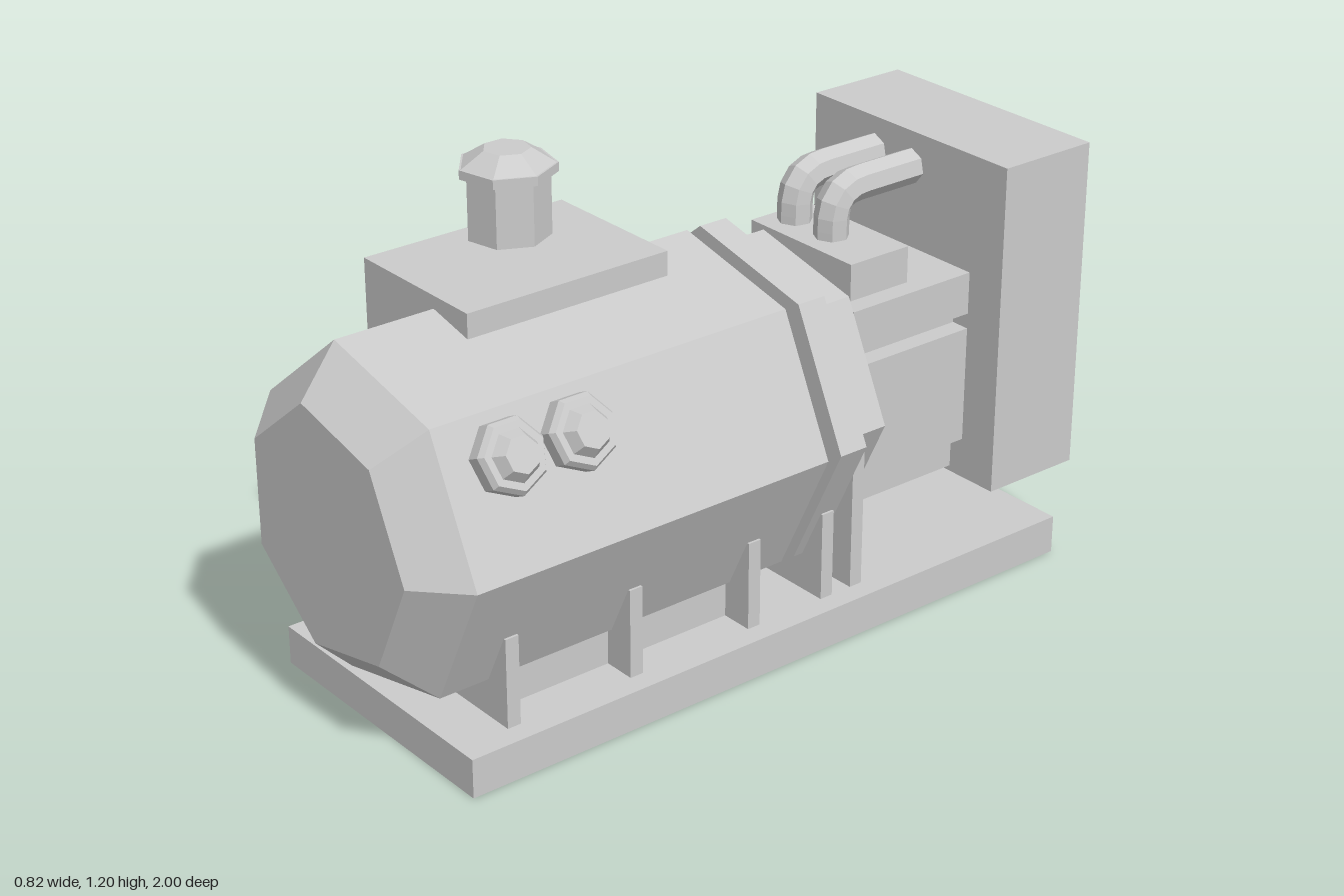
import * as THREE from 'three';

const mat = new THREE.MeshStandardMaterial({ color: 0xcccccc, flatShading: true });
const SIDES = 7;

function add(parent, name, geometry) {
  const mesh = new THREE.Mesh(geometry, mat);
  mesh.name = name;
  parent.add(mesh);
  return mesh;
}

// Box given by its limits on each axis
function box(parent, name, [x0, x1], [y0, y1], [z0, z1]) {
  const mesh = add(parent, name, new THREE.BoxGeometry(x1 - x0, y1 - y0, z1 - z0));
  mesh.position.set((x0 + x1) / 2, (y0 + y1) / 2, (z0 + z1) / 2);
  return mesh;
}

// Seven-sided frustum along y with one corner towards +x
function prism(rBottom, rTop, y0, y1) {
  return new THREE.CylinderGeometry(rTop, rBottom, y1 - y0, SIDES, 1, false, Math.PI / 2)
    .translate(0, (y0 + y1) / 2, 0);
}

// The same frustum lying along z on the generator axis
function drum(parent, name, rBack, rFront, z0, z1) {
  const mesh = add(parent, name, prism(rBack, rFront, z0, z1).rotateX(Math.PI / 2));
  mesh.position.set(-0.021, 0.53, 0);
  return mesh;
}

function addGenerator(group) {
  drum(group, 'generatorBody', 0.426, 0.426, -0.11, 0.89);
  drum(group, 'generatorNose', 0.426, 0.311, 0.89, 1.0);
  drum(group, 'couplingCore', 0.346, 0.346, -0.3, -0.1);
  drum(group, 'couplingFlange', 0.426, 0.426, -0.23, -0.15);
  drum(group, 'bellHousing', 0.37, 0.37, -0.34, -0.23);

  // Terminal box with its capped chimney
  box(group, 'terminalBox', [-0.395, 0.015], [0.65, 0.978], [0.055, 0.625]);
  const chimney = new THREE.Group();
  chimney.name = 'chimney';
  chimney.position.set(-0.302, 0, 0.28);
  add(chimney, 'chimneyPipe', prism(0.103, 0.103, 0.97, 1.135));
  add(chimney, 'chimneyRim', prism(0.121, 0.121, 1.135, 1.158));
  add(chimney, 'chimneyCap', prism(0.116, 0.058, 1.158, 1.195));
  group.add(chimney);

  // Two knobs on the upper right facet
  for (const z of [0.54, 0.73]) {
    const knob = new THREE.Group();
    knob.name = 'knob';
    add(knob, 'knobFlange', prism(0.09, 0.09, -0.01, 0.035));
    add(knob, 'knobBevel', prism(0.09, 0.08, 0.035, 0.049));
    add(knob, 'knobCap', prism(0.062, 0.044, 0.049, 0.078));
    knob.position.set(0.292, 0.765, z);
    knob.rotation.z = Math.PI / SIDES - Math.PI / 2;
    group.add(knob);
  }
}

function addBase(group) {
  box(group, 'basePlate', [-0.385, 0.37], [0, 0.1], [-0.92, 0.895]);
  box(group, 'pedestal', [-0.25, 0.23], [0.1, 0.3], [0.03, 0.74]);
  // Cross plates that carry the drum: z centre, top
  for (const [z, top] of [[0.74, 0.33], [0.39, 0.33], [0.035, 0.33], [-0.195, 0.33], [-0.29, 0.46]]) {
    box(group, 'supportPlate', [-0.335, 0.315], [0.1, top], [z - 0.018, z + 0.018]);
  }
}

function addEngine(group) {
  box(group, 'sump', [-0.2, 0.19], [0.24, 0.33], [-0.72, -0.33]);
  box(group, 'engineBlock', [-0.24, 0.23], [0.33, 0.635], [-0.72, -0.33]);
  box(group, 'engineNeck', [-0.19, 0.18], [0.635, 0.675], [-0.72, -0.38]);
  box(group, 'cylinderHead', [-0.24, 0.23], [0.675, 0.785], [-0.72, -0.34]);
  box(group, 'manifold', [-0.19, 0.177], [0.785, 0.88], [-0.56, -0.375]);

  // Bent pipes from the manifold to the radiator
  for (const x of [-0.125, 0.01]) {
    const p = (y, z) => new THREE.Vector3(x, y, z);
    const path = new THREE.CurvePath();
    path.add(new THREE.LineCurve3(p(0.87, -0.46), p(0.92, -0.46)));
    path.add(new THREE.QuadraticBezierCurve3(p(0.92, -0.46), p(1.0, -0.46), p(1.0, -0.54)));
    path.add(new THREE.LineCurve3(p(1.0, -0.54), p(1.0, -0.73)));
    add(group, 'coolantPipe', new THREE.TubeGeometry(path, 12, 0.045, SIDES));
  }
}

function addRadiator(group) {
  const [x0, x1, y0, y1] = [-0.345, 0.34, 0.225, 1.09];
  const rect = (Type, a, b, c, d) => new Type([[a, c], [b, c], [b, d], [a, d]]
    .map(([x, y]) => new THREE.Vector2(x, y)));
  box(group, 'radiatorCase', [x0, x1], [y0, y1], [-0.96, -0.72]);

  // Rear frame around the louvre opening
  const frame = rect(THREE.Shape, x0, x1, y0, y1);
  frame.holes.push(rect(THREE.Path, -0.285, 0.28, 0.385, 1.03));
  const frameGeometry = new THREE.ExtrudeGeometry(frame, { depth: 0.04, bevelEnabled: false });
  add(group, 'radiatorFrame', frameGeometry).position.z = -1;

  // Slats slope down towards the back
  const count = 22;
  for (let i = 0; i < count; i++) {
    const slat = add(group, 'louvreSlat', new THREE.BoxGeometry(0.565, 0.008, 0.034));
    slat.position.set(-0.0025, 0.385 + (i + 0.5) * 0.645 / count, -0.98);
    slat.rotation.x = -0.6;
  }
}

export function createModel() {
  const model = new THREE.Group();
  model.name = 'generatorSet';
  for (const [name, build] of [['base', addBase], ['generator', addGenerator],
    ['engine', addEngine], ['radiator', addRadiator]]) {
    const part = new THREE.Group();
    part.name = name;
    build(part);
    model.add(part);
  }
  return model;
}
